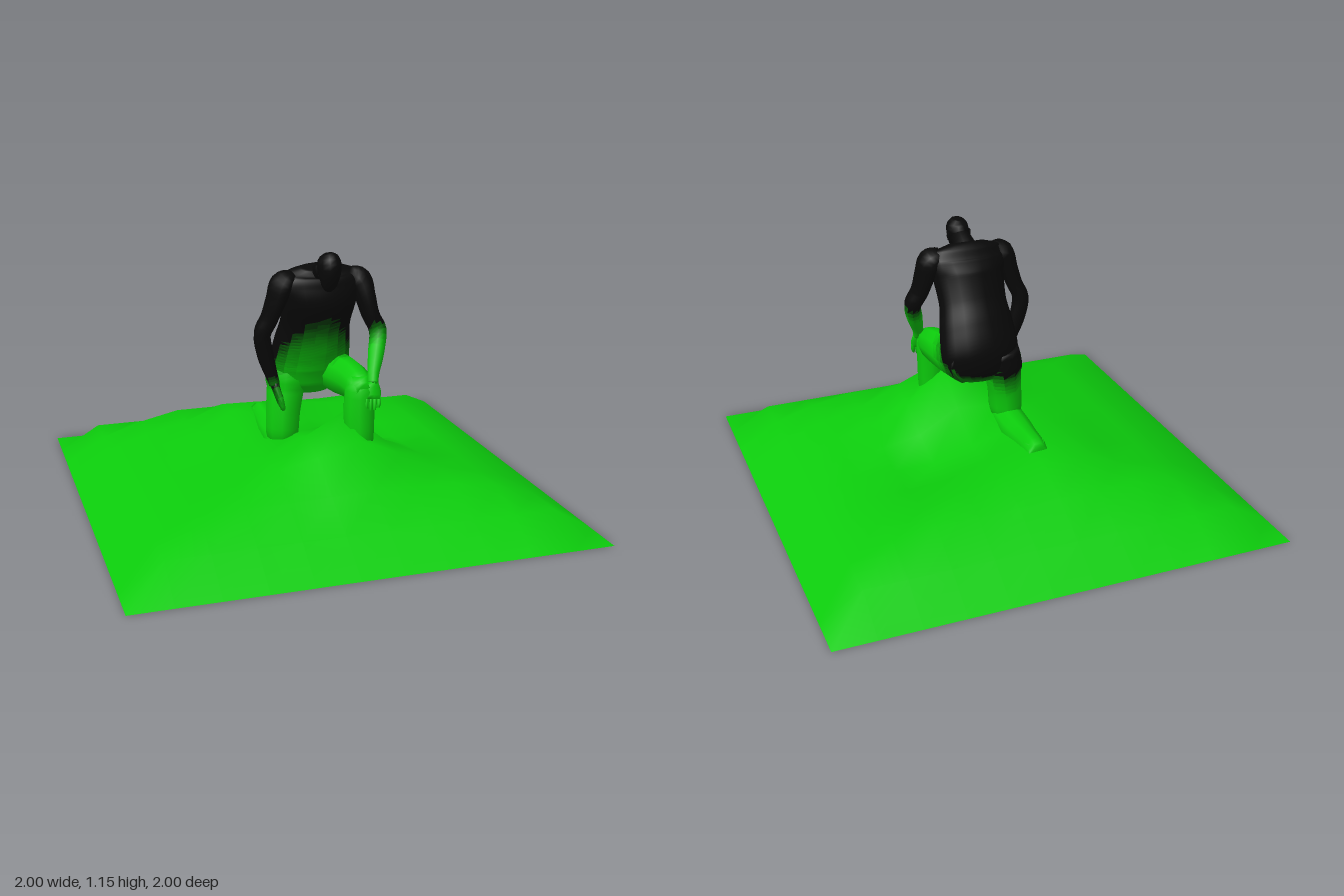
import * as THREE from 'three';

const GREEN = new THREE.Color(0x0ccc0c);
const BLACK = new THREE.Color(0x080808);
const BANDS = 14;
const materials = Array.from({ length: BANDS }, (_, i) =>
  new THREE.MeshStandardMaterial({ color: GREEN.clone().lerp(BLACK, i / (BANDS - 1)) }));

// Shade band: dark at the top and back, green towards the ground and front
function bandAt(y, z, darker) {
  const s = y - 1.1 * Math.max(z, -0.06) + darker;
  const t = THREE.MathUtils.clamp((s - 0.43) / 0.13, 0, 1);
  return Math.round(t * (BANDS - 1));
}

// Closed tube through sections [x, y, z, half width, half depth], split into shade bands
function loft(name, sections, { sides = 10, steps = 3, darker = 0 } = {}) {
  const centres = sections.map(s => new THREE.Vector3(s[0], s[1], s[2]));
  const radii = sections.map(s => new THREE.Vector3(s[3], s[4] ?? s[3], 0));
  const path = new THREE.CatmullRomCurve3(centres);
  const size = new THREE.CatmullRomCurve3(radii);
  const rings = (sections.length - 1) * steps;
  const pos = [], index = [];
  for (let i = 0; i <= rings; i++) {
    const c = path.getPoint(i / rings), r = size.getPoint(i / rings);
    const t = path.getTangent(i / rings);
    const u = new THREE.Vector3(1, 0, 0).addScaledVector(t, -t.x).normalize();
    const v = t.clone().cross(u);
    for (let j = 0; j < sides; j++) {
      const a = (j / sides) * Math.PI * 2;
      const p = c.clone().addScaledVector(u, Math.cos(a) * r.x).addScaledVector(v, Math.sin(a) * r.y);
      pos.push(p.x, p.y, p.z);
    }
  }
  for (let i = 0; i < rings; i++) {
    for (let j = 0; j < sides; j++) {
      const k = (j + 1) % sides;
      const a = i * sides + j, b = i * sides + k, c = b + sides, d = a + sides;
      index.push(a, b, c, a, c, d);
    }
  }
  const last = rings * sides;
  for (let j = 1; j < sides - 1; j++) {
    index.push(0, j + 1, j, last, last + j, last + j + 1);
  }
  const whole = new THREE.BufferGeometry();
  whole.setAttribute('position', new THREE.Float32BufferAttribute(pos, 3));
  whole.setIndex(index);
  whole.computeVertexNormals();

  const bands = Array.from({ length: BANDS }, () => []);
  for (let f = 0; f < index.length; f += 3) {
    const tri = index.slice(f, f + 3);
    const mean = axis => tri.reduce((sum, n) => sum + pos[n * 3 + axis], 0) / 3;
    bands[bandAt(mean(1), mean(2), darker)].push(...tri);
  }
  const group = new THREE.Group();
  group.name = name;
  bands.forEach((tris, b) => {
    if (!tris.length) return;
    const g = whole.clone();
    g.setIndex(tris);
    const mesh = new THREE.Mesh(g, materials[b]);
    mesh.name = name;
    group.add(mesh);
  });
  return group;
}

// Hill: a grid sheet rising in rings from a square edge, a peak under the front foot, a hollow behind it
function hill() {
  const across = [0, 0.11, 0.17, 0.21, 0.31, 0.29, 0.29, 0.28, 0.21, 0.17, 0.11, 0];
  const along = [0, 0.11, 0.21, 0.28, 0.3, 0.27, 0.26, 0.26, 0.27, 0.2, 0.11, 0];
  const bump = (x, z, cx, cz, wx, wz) => Math.exp(-((x - cx) ** 2) / wx - ((z - cz) ** 2) / wz);
  const g = new THREE.PlaneGeometry(2, 2, 11, 11).rotateX(-Math.PI / 2);
  const p = g.attributes.position;
  for (let n = 0; n < p.count; n++) {
    const i = n % 12, j = Math.floor(n / 12), x = p.getX(n), z = p.getZ(n);
    const base = Math.min(across[i], along[j]);
    const peak = 0.2 * bump(x, z, 0.07, 0.27, 0.03, 0.05);
    const hollow = 0.12 * bump(x, z, 0.25, -0.14, 0.05, 0.1);
    p.setY(n, base === 0 ? 0 : base + peak - hollow);
  }
  g.computeVertexNormals();
  const mesh = new THREE.Mesh(g, new THREE.MeshStandardMaterial({ color: GREEN, side: THREE.DoubleSide }));
  mesh.name = 'hill';
  return mesh;
}

// Hand: flat palm, four fingers and a thumb from wrist to tip; turned means the palm faces the body
function hand(name, wrist, tip, { thumbSide, turned = false, darker = 0 }) {
  const group = new THREE.Group();
  group.name = name;
  const a = new THREE.Vector3(...wrist), b = new THREE.Vector3(...tip);
  const section = (t, offset, wide, thick) => {
    const p = a.clone().lerp(b, t);
    return turned ? [p.x, p.y, p.z + offset, thick, wide] : [p.x + offset, p.y, p.z, wide, thick];
  };
  group.add(loft('palm', [
    section(0, 0, 0.024, 0.02), section(0.3, 0, 0.036, 0.018), section(0.6, 0, 0.038, 0.015),
  ], { sides: 8, steps: 2, darker }));
  for (let f = 0; f < 4; f++) {
    const offset = (f - 1.5) * 0.019;
    const end = f === 0 || f === 3 ? 0.92 : 1;
    group.add(loft('finger', [
      section(0.5, offset, 0.0095, 0.012), section(0.78, offset, 0.009, 0.01), section(end, offset * 0.9, 0.006, 0.007),
    ], { sides: 6, steps: 1, darker }));
  }
  group.add(loft('thumb', [
    section(0.15, thumbSide * 0.02, 0.012, 0.012), section(0.45, thumbSide * 0.042, 0.011, 0.011),
    section(0.68, thumbSide * 0.046, 0.007, 0.007),
  ], { sides: 6, steps: 1, darker }));
  return group;
}

export function createModel() {
  const model = new THREE.Group();
  model.name = 'kneelingFigureOnHill';
  model.add(hill());

  const figure = new THREE.Group();
  figure.name = 'figure';
  model.add(figure);

  // Torso leaning forward, neck and bowed head
  figure.add(loft('torso', [
    [0, 0.48, 0.035, 0.09, 0.05], [0, 0.53, 0.04, 0.16, 0.09], [0, 0.62, 0.05, 0.18, 0.115],
    [0, 0.72, 0.09, 0.17, 0.115], [0, 0.82, 0.135, 0.155, 0.105], [0, 0.93, 0.185, 0.165, 0.11],
    [0, 1.0, 0.2, 0.185, 0.085], [0, 1.04, 0.205, 0.165, 0.062], [0, 1.065, 0.215, 0.08, 0.035],
  ], { sides: 18, steps: 7 }));
  figure.add(loft('neck', [
    [0, 1.01, 0.18, 0.065, 0.05], [0, 1.045, 0.235, 0.05, 0.046], [0, 1.07, 0.3, 0.042, 0.044],
  ]));
  figure.add(loft('head', [
    [0, 0.985, 0.305, 0.018, 0.018], [0, 1.01, 0.315, 0.034, 0.036], [0, 1.055, 0.318, 0.046, 0.06],
    [0, 1.095, 0.316, 0.051, 0.065], [0, 1.128, 0.31, 0.038, 0.046], [0, 1.14, 0.306, 0.016, 0.018],
  ], { steps: 2 }));
  for (const s of [-1, 1]) {
    figure.add(loft('ear', [
      [s * 0.046, 1.05, 0.305, 0.005, 0.007], [s * 0.049, 1.07, 0.302, 0.008, 0.013], [s * 0.05, 1.09, 0.3, 0.005, 0.009],
    ], { sides: 6, steps: 1 }));
  }

  // Left arm rests its hand on the raised knee
  figure.add(loft('leftArm', [
    [0.12, 1.03, 0.2, 0.03, 0.04], [0.168, 1.0, 0.21, 0.052, 0.065], [0.19, 0.93, 0.228, 0.042, 0.066],
    [0.21, 0.85, 0.245, 0.036, 0.056], [0.237, 0.785, 0.262, 0.038, 0.044], [0.215, 0.7, 0.305, 0.036],
    [0.187, 0.62, 0.35, 0.026], [0.178, 0.58, 0.37, 0.024],
  ], { steps: 4, darker: 0.05 }));
  figure.add(hand('leftHand', [0.178, 0.59, 0.37], [0.168, 0.475, 0.4], { thumbSide: -1 }));

  // Right arm hangs beside the body
  figure.add(loft('rightArm', [
    [-0.12, 1.03, 0.2, 0.03, 0.04], [-0.168, 1.0, 0.205, 0.052, 0.064], [-0.195, 0.93, 0.2, 0.042, 0.06],
    [-0.222, 0.85, 0.188, 0.036, 0.05], [-0.248, 0.785, 0.175, 0.037, 0.044], [-0.235, 0.69, 0.175, 0.036],
    [-0.21, 0.6, 0.18, 0.027], [-0.198, 0.56, 0.182, 0.024],
  ], { steps: 4, darker: 0.18 }));
  figure.add(hand('rightHand', [-0.2, 0.57, 0.182], [-0.16, 0.44, 0.18], { thumbSide: 1, turned: true, darker: 0.22 }));

  // Left leg: raised knee, shin and foot sunk through the peak
  figure.add(loft('leftThigh', [
    [0.08, 0.57, 0.0, 0.08, 0.085], [0.105, 0.57, 0.12, 0.08, 0.09], [0.128, 0.567, 0.24, 0.072, 0.083],
    [0.135, 0.555, 0.33, 0.064, 0.07], [0.135, 0.545, 0.385, 0.035, 0.04],
  ], { steps: 4 }));
  figure.add(loft('leftShin', [
    [0.135, 0.61, 0.325, 0.04, 0.04], [0.135, 0.55, 0.33, 0.067, 0.068], [0.13, 0.45, 0.335, 0.068, 0.07],
    [0.13, 0.35, 0.338, 0.064, 0.07], [0.13, 0.25, 0.33, 0.055, 0.06], [0.13, 0.15, 0.33, 0.05, 0.055],
  ]));
  figure.add(loft('leftFoot', [
    [0.13, 0.165, 0.27, 0.035, 0.035], [0.13, 0.165, 0.32, 0.05, 0.055], [0.133, 0.16, 0.4, 0.056, 0.048],
    [0.135, 0.145, 0.46, 0.045, 0.025],
  ]));

  // Right leg: kneeling, shin laid back half into the ground, toes dug in
  figure.add(loft('rightThigh', [
    [-0.09, 0.62, 0.03, 0.085, 0.09], [-0.108, 0.5, 0.042, 0.085, 0.09], [-0.122, 0.4, 0.052, 0.078, 0.086],
    [-0.128, 0.31, 0.055, 0.075, 0.084], [-0.13, 0.23, 0.05, 0.05, 0.06],
  ], { steps: 5 }));
  figure.add(loft('rightShin', [
    [-0.13, 0.265, 0.1, 0.05, 0.045], [-0.13, 0.255, 0.04, 0.077, 0.07], [-0.126, 0.25, -0.08, 0.076, 0.07],
    [-0.123, 0.252, -0.2, 0.064, 0.068], [-0.12, 0.255, -0.3, 0.057, 0.068], [-0.118, 0.25, -0.35, 0.05, 0.058],
  ]));
  figure.add(loft('rightFoot', [
    [-0.12, 0.3, -0.29, 0.045, 0.05], [-0.12, 0.24, -0.295, 0.055, 0.055], [-0.122, 0.17, -0.29, 0.055, 0.045],
    [-0.122, 0.13, -0.28, 0.045, 0.03],
  ]));
  return model;
}
